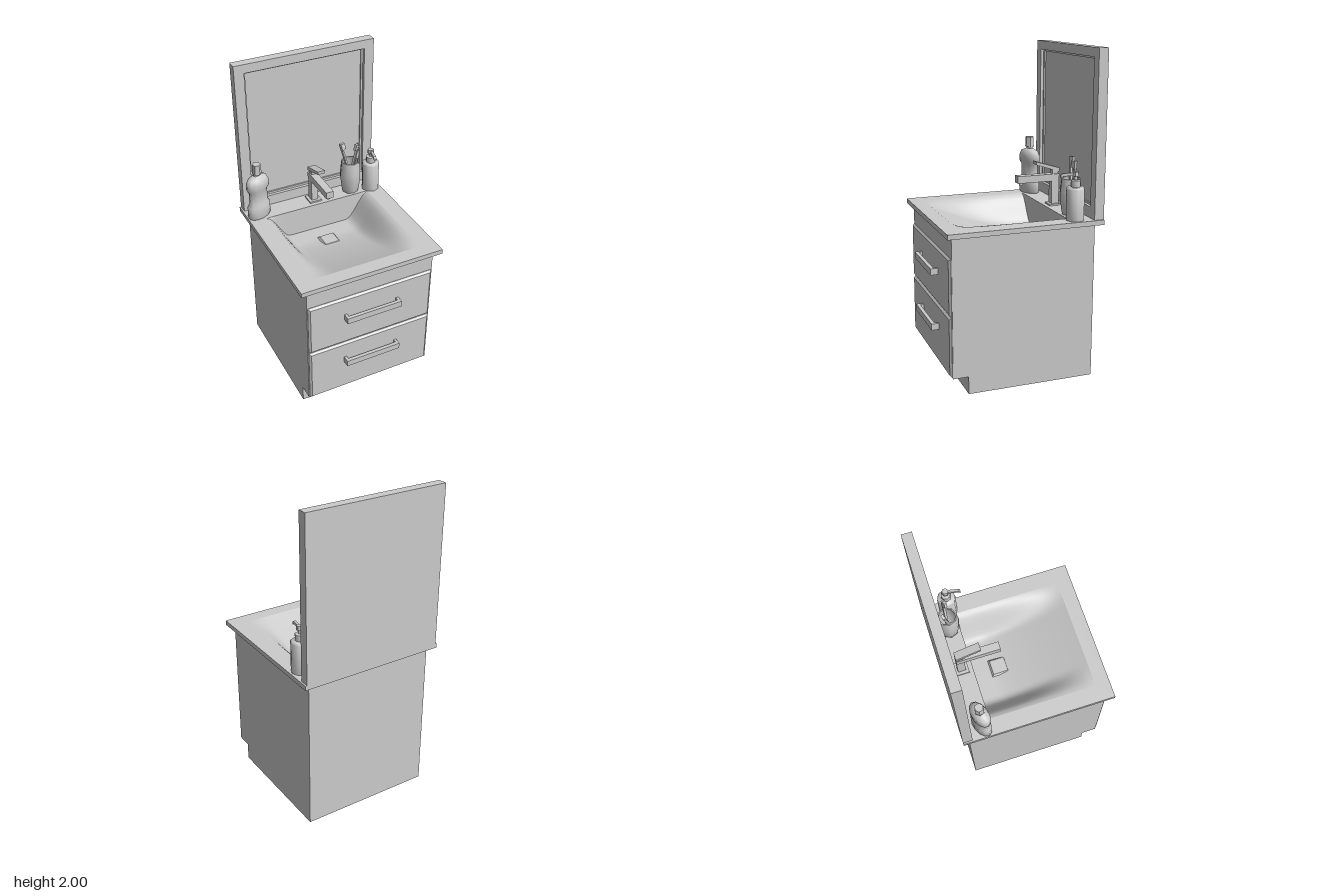
import * as THREE from 'three';
import { toCreasedNormals } from 'three/addons/utils/BufferGeometryUtils.js';

const grey = new THREE.MeshStandardMaterial({ color: 0xcccccc, side: THREE.DoubleSide });

function add(parent, name, geo) {
  const mesh = new THREE.Mesh(geo, grey);
  mesh.name = name;
  parent.add(mesh);
  return mesh;
}

function group(parent, name, x = 0, y = 0, z = 0) {
  const g = new THREE.Group();
  g.name = name;
  g.position.set(x, y, z);
  parent.add(g);
  return g;
}

// Box given by its limits on each axis
function box(x0, x1, y0, y1, z0, z1) {
  return new THREE.BoxGeometry(x1 - x0, y1 - y0, z1 - z0)
    .translate((x0 + x1) / 2, (y0 + y1) / 2, (z0 + z1) / 2);
}

function rect(Type, x0, x1, y0, y1) {
  return new Type().moveTo(x0, y0).lineTo(x1, y0).lineTo(x1, y1).lineTo(x0, y1).closePath();
}

// Rectangle with a rectangular opening, extruded along z
function frame(outer, inner, depth) {
  const s = rect(THREE.Shape, ...outer);
  s.holes.push(rect(THREE.Path, ...inner));
  return new THREE.ExtrudeGeometry(s, { depth, bevelEnabled: false });
}

// Side profile of [z, y] points extruded along x, centred
function sideExtrude(points, width) {
  const s = new THREE.Shape(points.map(([z, y]) => new THREE.Vector2(-z, y)));
  return new THREE.ExtrudeGeometry(s, { depth: width, bevelEnabled: false })
    .translate(0, 0, -width / 2).rotateY(Math.PI / 2);
}

function lathe(points, segments, crease = 0.9) {
  const geo = new THREE.LatheGeometry(points.map(([r, y]) => new THREE.Vector2(r, y)), segments);
  return toCreasedNormals(geo, crease);
}

// Height of the basin floor
function basinHeight(x, z) {
  const across = 1 - THREE.MathUtils.smoothstep(Math.abs(x), 0.2, 0.36);
  const s = THREE.MathUtils.clamp((z + 0.17) / 0.55, 0, 1);
  return 1 - 0.18 * across * (1 - Math.pow(s, 1.4));
}

function basin() {
  const geo = new THREE.PlaneGeometry(1, 1, 36, 36).rotateX(-Math.PI / 2);
  const p = geo.attributes.position;
  for (let i = 0; i < p.count; i++) {
    const back = p.getZ(i) < -0.499;
    const x = p.getX(i) * 0.72;
    const z = back ? -0.3 : -0.295 + (p.getZ(i) + 0.5 - 1 / 36) * 0.675 * 36 / 35;
    p.setXYZ(i, x, back ? 1 : basinHeight(x, z), z);
  }
  return toCreasedNormals(geo, 0.6);
}

function drawer(parent, name, y0, y1, handleY) {
  const g = group(parent, name);
  const b = 0.012;
  const s = rect(THREE.Shape, -0.415 + b, 0.415 - b, y0 + b, y1 - b);
  add(g, 'drawerFront', new THREE.ExtrudeGeometry(s, {
    depth: 0.004, bevelThickness: 0.012, bevelSize: b, bevelSegments: 1,
  }).translate(0, 0, 0.434));
  // U-shaped pull
  const pull = new THREE.Shape([
    [-0.183, -0.44], [-0.183, -0.495], [0.183, -0.495], [0.183, -0.44],
    [0.166, -0.44], [0.166, -0.473], [-0.166, -0.473], [-0.166, -0.44],
  ].map(([x, y]) => new THREE.Vector2(x, y)));
  add(g, 'handle', new THREE.ExtrudeGeometry(pull, { depth: 0.04, bevelEnabled: false })
    .rotateX(-Math.PI / 2).translate(0, handleY - 0.02, 0));
}

function toothbrush(parent, from, to, turn) {
  const a = new THREE.Vector3(...from), d = new THREE.Vector3(...to).sub(a);
  const len = d.length();
  const g = group(parent, 'toothbrush', ...from);
  g.quaternion.setFromUnitVectors(new THREE.Vector3(0, 1, 0), d.normalize());
  const inner = group(g, 'brushBody');
  inner.rotation.y = turn;
  add(inner, 'brushHandle', box(-0.006, 0.006, 0, len - 0.05, -0.008, 0.008));
  add(inner, 'brushHead', box(-0.005, 0.005, len - 0.05, len, -0.011, 0.011));
  add(inner, 'bristles', box(0.005, 0.026, len - 0.046, len - 0.004, -0.009, 0.009));
}

export function createModel() {
  const model = new THREE.Group();
  model.name = 'bathroomVanity';

  // Cabinet with toe kick, hollow at the top for the basin
  const cabinet = group(model, 'cabinet');
  add(cabinet, 'carcass', sideExtrude([
    [-0.455, 0], [0.34, 0], [0.34, 0.11], [0.435, 0.11], [0.435, 0.78], [-0.455, 0.78],
  ], 0.84));
  add(cabinet, 'upperWalls', frame([-0.42, 0.42, -0.435, 0.455], [-0.4, 0.4, -0.415, 0.435], 0.19)
    .rotateX(-Math.PI / 2).translate(0, 0.78, 0));
  drawer(cabinet, 'upperDrawer', 0.492, 0.842, 0.7);
  drawer(cabinet, 'lowerDrawer', 0.115, 0.486, 0.352);

  // Countertop and sink
  const sink = group(model, 'sink');
  add(sink, 'countertop', frame([-0.465, 0.465, -0.47, 0.495], [-0.36, 0.36, -0.38, 0.3], 0.03)
    .rotateX(-Math.PI / 2).translate(0, 0.97, 0));
  add(sink, 'basin', basin());
  const drain = add(sink, 'drainCover', new THREE.CylinderGeometry(0.066, 0.081, 0.014, 4, 1)
    .rotateY(Math.PI / 4).toNonIndexed());
  drain.geometry.computeVertexNormals();
  drain.position.set(0, 0.829, -0.132);

  // Mirror
  const mirror = group(model, 'mirror');
  add(mirror, 'mirrorFrame', frame([-0.455, 0.455, 1, 2], [-0.392, 0.392, 1.068, 1.945], 0.06)
    .translate(0, 0, -0.495));
  add(mirror, 'innerLip', frame([-0.392, 0.392, 1.068, 1.945], [-0.38, 0.38, 1.082, 1.933], 0.035)
    .translate(0, 0, -0.49));
  add(mirror, 'mirrorPanel', box(-0.392, 0.392, 1.068, 1.945, -0.495, -0.465));

  // Faucet
  const faucet = group(model, 'faucet');
  add(faucet, 'basePlate', box(-0.041, 0.041, 1, 1.01, -0.408, -0.327));
  add(faucet, 'column', box(-0.022, 0.022, 1.01, 1.16, -0.395, -0.345));
  add(faucet, 'spout', box(-0.025, 0.025, 1.155, 1.2, -0.395, -0.118));
  add(faucet, 'aerator', new THREE.CylinderGeometry(0.014, 0.014, 0.018, 8).translate(0, 1.147, -0.147));
  add(faucet, 'leverNeck', box(-0.018, 0.018, 1.2, 1.235, -0.39, -0.35));
  add(faucet, 'lever', sideExtrude([
    [-0.395, 1.213], [-0.238, 1.265], [-0.238, 1.285], [-0.395, 1.238],
  ], 0.05));

  // Mouthwash bottle, oval with a waist
  const bottle = group(model, 'mouthwashBottle', -0.383, 1, -0.357);
  bottle.rotation.y = 0.35;
  add(bottle, 'bottleBody', lathe([
    [0, 0], [0.078, 0], [0.084, 0.01], [0.084, 0.085], [0.068, 0.11], [0.068, 0.19],
    [0.084, 0.212], [0.084, 0.25], [0.07, 0.28], [0.04, 0.293], [0.025, 0.297], [0.025, 0.315],
  ], 12).scale(1, 1, 0.58));
  add(bottle, 'bottleCap', lathe([[0, 0.31], [0.03, 0.31], [0.027, 0.375], [0, 0.375]], 6, 0.3));

  // Tumbler with toothbrushes
  const tumbler = group(model, 'toothbrushTumbler', 0.265, 1, -0.365);
  add(tumbler, 'cup', lathe([
    [0, 0], [0.052, 0], [0.06, 0.03], [0.069, 0.1], [0.069, 0.14], [0.06, 0.222],
    [0.052, 0.222], [0.06, 0.14], [0.058, 0.09], [0.046, 0.02], [0, 0.02],
  ], 8));
  toothbrush(tumbler, [0.02, 0.03, 0.01], [-0.058, 0.345, -0.025], 0.3);
  toothbrush(tumbler, [-0.015, 0.03, -0.01], [0.058, 0.335, 0.0], Math.PI + 0.4);

  // Soap dispenser with pump
  const soap = group(model, 'soapDispenser', 0.398, 1, -0.333);
  add(soap, 'soapBody', lathe([
    [0, 0], [0.057, 0], [0.057, 0.19], [0.048, 0.2], [0, 0.2],
  ], 8));
  add(soap, 'collar', lathe([[0, 0.198], [0.03, 0.198], [0.03, 0.238], [0, 0.242]], 8));
  add(soap, 'pumpStem', new THREE.CylinderGeometry(0.011, 0.011, 0.04, 6).translate(0, 0.255, 0));
  add(soap, 'pumpHead', lathe([[0, 0.263], [0.022, 0.263], [0.02, 0.29], [0, 0.29]], 6, 0.3));
  const nozzle = add(soap, 'pumpNozzle', sideExtrude([
    [0, 0.268], [0.078, 0.264], [0.09, 0.255], [0.092, 0.27], [0.08, 0.281], [0, 0.285],
  ], 0.016));
  nozzle.rotation.y = -0.17;

  return model;
}
